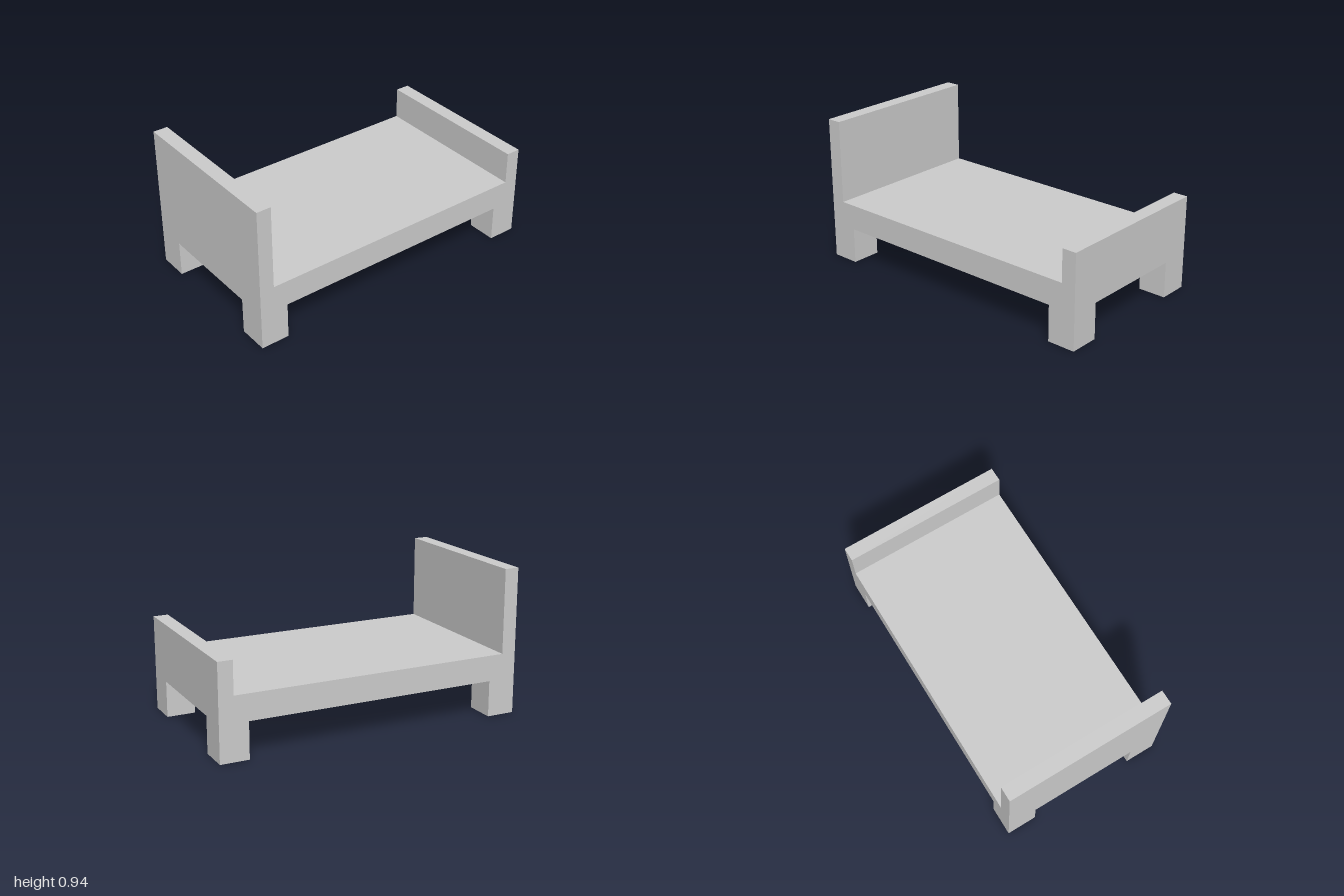
import * as THREE from 'three';

const WIDTH = 1.098, LENGTH = 2;
const LEG_TOP = 0.234, DECK_TOP = 0.401;
const HEAD_TOP = 0.945, FOOT_TOP = 0.612, BOARD = 0.094;
const LEG_W = 0.196, LEG_D = 0.184;

export function createModel() {
  const bed = new THREE.Group();
  bed.name = 'bed';
  const material = new THREE.MeshStandardMaterial({ color: 0xcccccc, flatShading: true });

  // Box standing on height y0 and reaching y1
  function addBox(name, width, y0, y1, depth, x, z) {
    const mesh = new THREE.Mesh(new THREE.BoxGeometry(width, y1 - y0, depth), material);
    mesh.name = name;
    mesh.position.set(x, (y0 + y1) / 2, z);
    bed.add(mesh);
  }

  // Deck running the full length
  addBox('deck', WIDTH, LEG_TOP, DECK_TOP, LENGTH, 0, 0);

  // Tall board at the front, low board at the back
  const boardZ = (LENGTH - BOARD) / 2;
  addBox('headboard', WIDTH, DECK_TOP, HEAD_TOP, BOARD, 0, boardZ);
  addBox('footboard', WIDTH, DECK_TOP, FOOT_TOP, BOARD, 0, -boardZ);

  // Four corner legs, flush with the outside
  for (const [endName, sz] of [['front', 1], ['back', -1]]) {
    for (const [sideName, sx] of [['Left', 1], ['Right', -1]]) {
      addBox(`${endName}${sideName}Leg`, LEG_W, 0, LEG_TOP, LEG_D,
        sx * (WIDTH - LEG_W) / 2, sz * (LENGTH - LEG_D) / 2);
    }
  }

  return bed;
}
